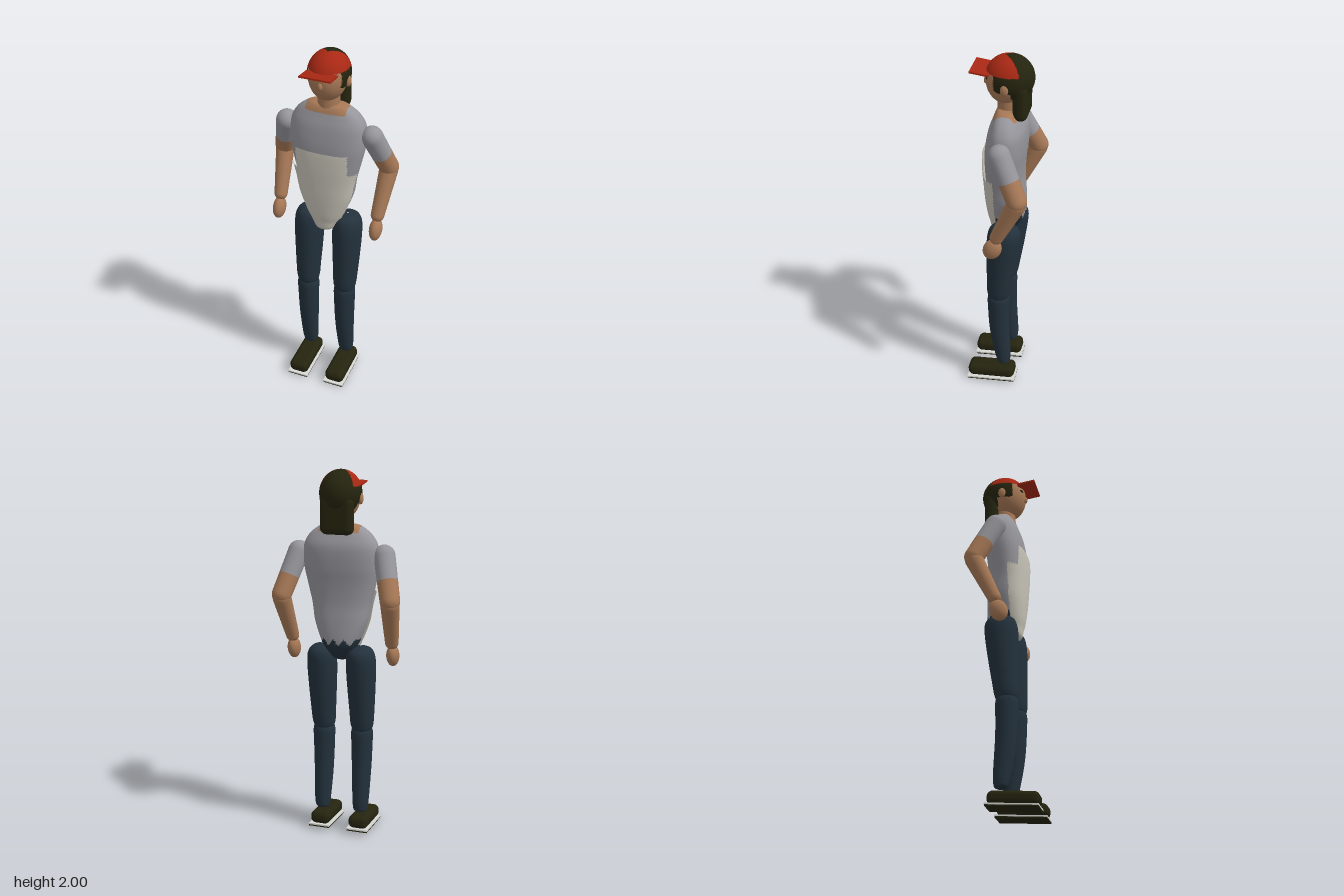
import * as THREE from 'three';
import { RoundedBoxGeometry } from 'three/addons/geometries/RoundedBoxGeometry.js';

const material = (name, color, side = THREE.FrontSide) => {
  const m = new THREE.MeshStandardMaterial({ color, side });
  m.name = name;
  return m;
};

// Elliptical loft through rings [y, centreX, radiusX, zFront, zBack], listed bottom to top.
function loft(rings, power = 1, sides = 48, steps = 6) {
  const curve = new THREE.CubicInterpolant(rings.map((_, i) => i), rings.flat(), 5, new Float32Array(5));
  const rows = (rings.length - 1) * steps;
  const pos = [], index = [];
  const bulge = (v) => Math.sign(v) * Math.abs(v) ** power;
  for (let i = 0; i <= rows; i++) {
    const [y, cx, rx, zf, zb] = curve.evaluate(i / steps);
    for (let j = 0; j < sides; j++) {
      const a = (j / sides) * Math.PI * 2;
      pos.push(cx + rx * bulge(Math.cos(a)), y, (zf + zb) / 2 + ((zf - zb) / 2) * bulge(Math.sin(a)));
      if (i < rows) {
        const p = i * sides + j, q = i * sides + ((j + 1) % sides);
        index.push(p, p + sides, q, q, p + sides, q + sides);
      }
    }
  }
  const g = new THREE.BufferGeometry();
  g.setAttribute('position', new THREE.Float32BufferAttribute(pos, 3));
  g.setIndex(index);
  g.computeVertexNormals();
  return g;
}

// Sorts faces into material groups by centroid; a pick of -1 removes the face.
function paint(g, count, pick) {
  const p = g.attributes.position, old = g.index.array;
  const buckets = Array.from({ length: count }, () => []);
  for (let i = 0; i < old.length; i += 3) {
    const t = [old[i], old[i + 1], old[i + 2]];
    const mid = (get) => t.reduce((s, k) => s + p[get](k), 0) / 3;
    const slot = pick(mid('getX'), mid('getY'), mid('getZ'));
    if (slot >= 0) buckets[slot].push(...t);
  }
  g.setIndex(buckets.flat());
  g.clearGroups();
  let start = 0;
  buckets.forEach((b, k) => { g.addGroup(start, b.length, k); start += b.length; });
  return g;
}

// Tapered round-ended limb along +y with its start at the origin.
function limb(r0, r1, length) {
  const pts = [];
  for (let i = 0; i <= 8; i++) {
    const a = -Math.PI / 2 + (i / 16) * Math.PI;
    pts.push(new THREE.Vector2(Math.max(r0 * Math.cos(a), 0.0001), r0 * Math.sin(a)));
  }
  for (let i = 1; i < 16; i++) pts.push(new THREE.Vector2(r0 + ((r1 - r0) * i) / 16, (length * i) / 16));
  for (let i = 0; i <= 8; i++) {
    const a = (i / 16) * Math.PI;
    pts.push(new THREE.Vector2(Math.max(r1 * Math.cos(a), 0.0001), length + r1 * Math.sin(a)));
  }
  return new THREE.LatheGeometry(pts, 32);
}

export function createModel() {
  const skin = material('skin', 0xa67856);
  const shirt = material('grey shirt', 0x95959b);
  const cream = material('cream apron', 0xc8c4b8, THREE.DoubleSide);
  const denim = material('dark denim', 0x23313c);
  const hair = material('dark hair and shoes', 0x25240f, THREE.DoubleSide);
  const red = material('red cap', 0xa82814, THREE.DoubleSide);
  const white = material('white sole', 0xd8d8d4);

  const model = new THREE.Group();
  const add = (name, geometry, mat, x = 0, y = 0, z = 0, parent = model) => {
    const mesh = new THREE.Mesh(geometry, mat);
    mesh.name = name;
    mesh.position.set(x, y, z);
    parent.add(mesh);
    return mesh;
  };
  const ball = (name, mat, x, y, z, rx, ry, rz) => {
    const mesh = add(name, new THREE.SphereGeometry(1, 32, 20), mat, x, y, z);
    mesh.scale.set(rx, ry, rz);
    return mesh;
  };
  const limbBetween = (name, a, b, r0, r1, mats, split) => {
    const from = new THREE.Vector3(...a), dir = new THREE.Vector3(...b).sub(from);
    const length = dir.length();
    const g = limb(r0, r1, length);
    if (split) paint(g, 2, (x, y) => (y < split * length ? 0 : 1));
    const mesh = add(name, g, mats, ...a);
    mesh.quaternion.setFromUnitVectors(new THREE.Vector3(0, 1, 0), dir.normalize());
  };

  // Torso: trousers seat, shirt and bare neckline in one skin
  const torso = [
    [0.98, 0, 0.004, 0.01, -0.01], [1.0, 0, 0.045, 0.05, -0.06], [1.05, 0, 0.078, 0.06, -0.1],
    [1.1, 0, 0.105, 0.07, -0.118], [1.2, 0, 0.142, 0.08, -0.115], [1.3, 0, 0.16, 0.086, -0.107],
    [1.4, 0, 0.184, 0.09, -0.11], [1.5, 0, 0.203, 0.088, -0.12], [1.6, 0, 0.201, 0.072, -0.12],
    [1.66, 0, 0.172, 0.052, -0.1], [1.7, 0, 0.125, 0.036, -0.078], [1.717, 0, 0.085, 0.018, -0.062],
    [1.722, 0, 0.004, -0.018, -0.026],
  ];
  add('torso', paint(loft(torso, 0.82, 96, 8), 3, (x, y, z) => {
    if (y > 1.68 && Math.abs(x) < 0.11) return 2;
    return y < 1.1 + 0.015 * Math.sin(x * 110) ? 0 : 1;
  }), [denim, shirt, skin]);

  // Apron: front shell slightly larger than the torso
  const shell = torso.map(([y, cx, rx, zf, zb]) => [y - 0.01, cx, rx + 0.007, zf + 0.014, zb]);
  add('apron', paint(loft(shell, 0.82, 96, 8), 1, (x, y, z) => {
    if (y > 1.48 || z < 0.025) return -1;
    return y > 1.36 && Math.abs(x) > 0.142 ? -1 : 0;
  }), [cream]);

  // Neck, head and face
  add('neck', new THREE.CylinderGeometry(0.055, 0.06, 0.12, 32), skin, 0, 1.74, -0.025);
  ball('head', skin, 0, 1.865, -0.012, 0.099, 0.127, 0.105);
  ball('nose', skin, 0, 1.85, 0.09, 0.013, 0.021, 0.014);
  for (const s of [1, -1]) {
    ball('ear', skin, s * 0.106, 1.852, -0.022, 0.013, 0.03, 0.021);
    ball('eye', hair, s * 0.045, 1.884, 0.08, 0.014, 0.007, 0.004).rotation.y = s * 0.42;
  }

  // Hair and cap share one skull shell, left open over the face
  const skull = new THREE.SphereGeometry(1, 96, 64);
  skull.scale(0.11, 0.12, 0.125).translate(0, 1.88, -0.03);
  add('hairAndCap', paint(skull, 2, (x, y, z) => {
    if (y > 1.917 && z > -0.005 - Math.abs(x)) return 1;
    if (y > 1.83) return z < 0.035 ? 0 : -1;
    return z < -0.05 ? 0 : -1;
  }), [hair, red]);
  add('longHair', new RoundedBoxGeometry(0.18, 0.2, 0.076, 5, 0.035), hair, 0, 1.77, -0.093);
  add('capBrim', new THREE.BoxGeometry(0.168, 0.009, 0.1), red, 0, 1.917, 0.111).rotation.x = -0.12;

  const thigh = [
    [0.572, 0.109, 0.004, 0.01, 0], [0.585, 0.109, 0.045, 0.055, -0.04], [0.62, 0.109, 0.062, 0.07, -0.056],
    [0.7, 0.11, 0.068, 0.072, -0.07], [0.82, 0.11, 0.075, 0.072, -0.09], [0.95, 0.11, 0.08, 0.071, -0.108],
    [1.02, 0.11, 0.074, 0.062, -0.11], [1.055, 0.11, 0.05, 0.04, -0.085], [1.07, 0.11, 0.004, -0.02, -0.03],
  ];
  const shin = [
    [0.115, 0.11, 0.004, -0.015, -0.025], [0.125, 0.11, 0.034, 0.01, -0.052], [0.15, 0.11, 0.042, 0.02, -0.059],
    [0.2, 0.11, 0.046, 0.032, -0.06], [0.3, 0.109, 0.051, 0.051, -0.055], [0.4, 0.109, 0.055, 0.062, -0.05],
    [0.5, 0.109, 0.058, 0.067, -0.05], [0.58, 0.109, 0.059, 0.068, -0.05], [0.61, 0.109, 0.04, 0.05, -0.03],
    [0.62, 0.109, 0.004, 0.01, 0],
  ];
  for (const s of [1, -1]) {
    // Arms: sleeve and bare arm share the upper limb
    const shoulder = [s * 0.236, 1.563, -0.025], elbow = [s * 0.297, 1.345, -0.127], wrist = [s * 0.28, 1.1, -0.02];
    limbBetween('upperArm', shoulder, elbow, 0.057, 0.053, [shirt, skin], 0.56);
    limbBetween('forearm', [s * 0.297, 1.325, -0.125], wrist, 0.05, 0.036, skin);
    ball('hand', skin, s * 0.28, 1.024, 0.003, 0.034, 0.062, 0.048).rotation.x = -0.4;

    // Legs
    const side = (rings) => loft(rings.map(([y, cx, ...r]) => [y, cx * s, ...r]), 1, 36);
    add('thigh', side(thigh), denim);
    add('shin', side(shin), denim);

    // Shoes: upper, white rim and dark outsole, heel slightly raised
    const shoe = new THREE.Group();
    shoe.name = 'shoe';
    shoe.position.set(s * 0.11, 0, 0.043);
    shoe.rotation.x = 0.075;
    model.add(shoe);
    add('shoeUpper', new RoundedBoxGeometry(0.11, 0.072, 0.268, 5, 0.03), hair, 0, 0.06, 0, shoe);
    add('soleRim', new THREE.BoxGeometry(0.119, 0.008, 0.275), white, 0, 0.022, 0, shoe);
    add('outsole', new THREE.BoxGeometry(0.116, 0.007, 0.272), hair, 0, 0.0145, 0, shoe);
  }
  return model;
}
